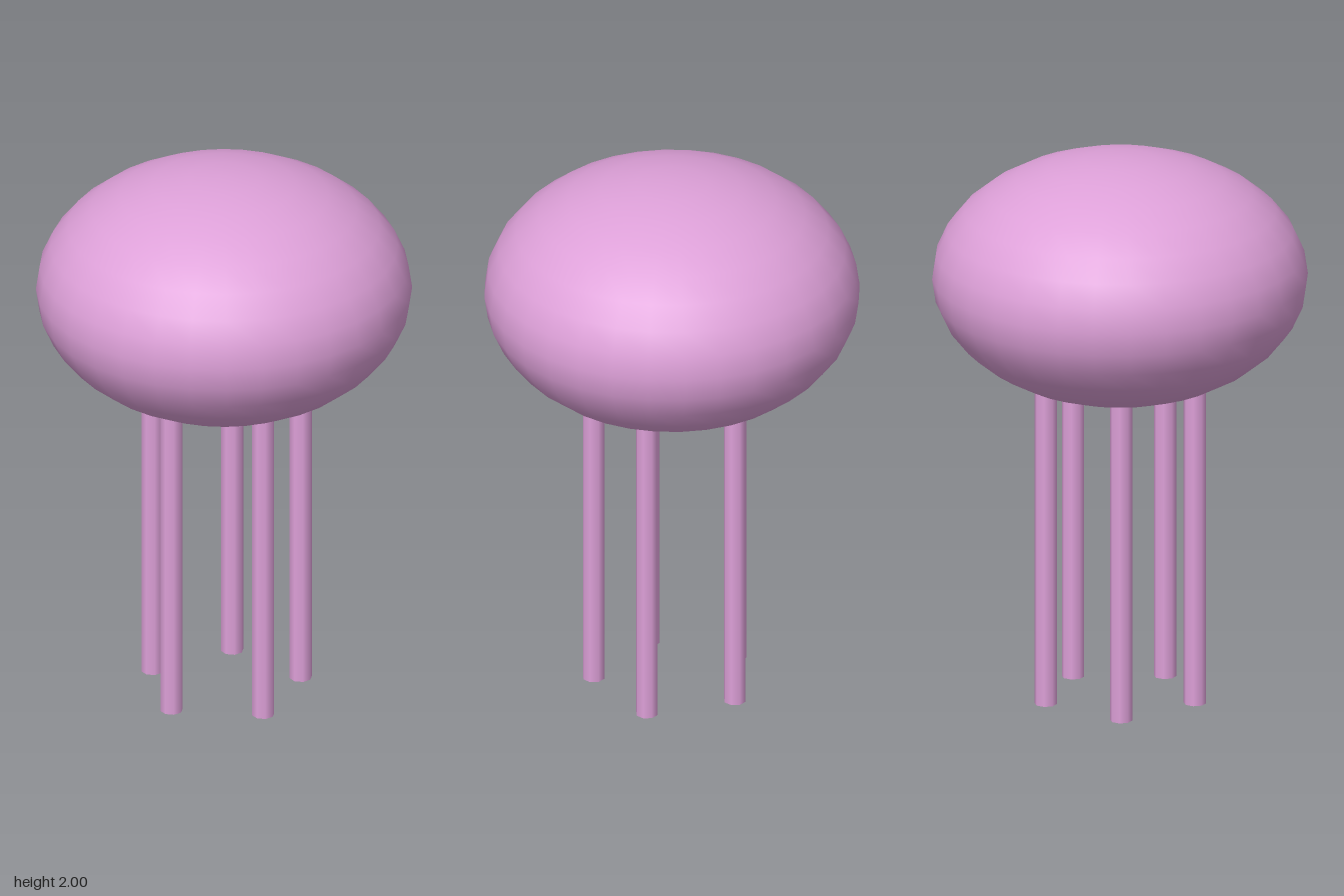
import * as THREE from 'three';

const RADIUS = 0.665, HALF_HEIGHT = 0.44, CENTRE_Y = 1.56;
const LEG_COUNT = 5, LEG_RING = 0.277, LEG_RADIUS = 0.04, LEG_TOP = 1.2;

export function createModel() {
  const model = new THREE.Group();
  model.name = 'jellyfish';

  const pink = new THREE.MeshStandardMaterial({ color: 0xdda0d8 });
  pink.name = 'plum pink';

  // flattened round body
  const bodyGeometry = new THREE.SphereGeometry(RADIUS, 32, 16);
  bodyGeometry.scale(1, HALF_HEIGHT / RADIUS, 1);
  const body = new THREE.Mesh(bodyGeometry, pink);
  body.name = 'body';
  body.position.y = CENTRE_Y;
  model.add(body);

  // ring of straight tentacles, tops sunk into the body
  const tentacleGeometry = new THREE.CylinderGeometry(LEG_RADIUS, LEG_RADIUS, LEG_TOP, 8);
  for (let i = 0; i < LEG_COUNT; i++) {
    const angle = (i / LEG_COUNT) * Math.PI * 2;
    const tentacle = new THREE.Mesh(tentacleGeometry, pink);
    tentacle.name = `tentacle${i + 1}`;
    tentacle.position.set(Math.cos(angle) * LEG_RING, LEG_TOP / 2, Math.sin(angle) * LEG_RING);
    model.add(tentacle);
  }

  return model;
}
